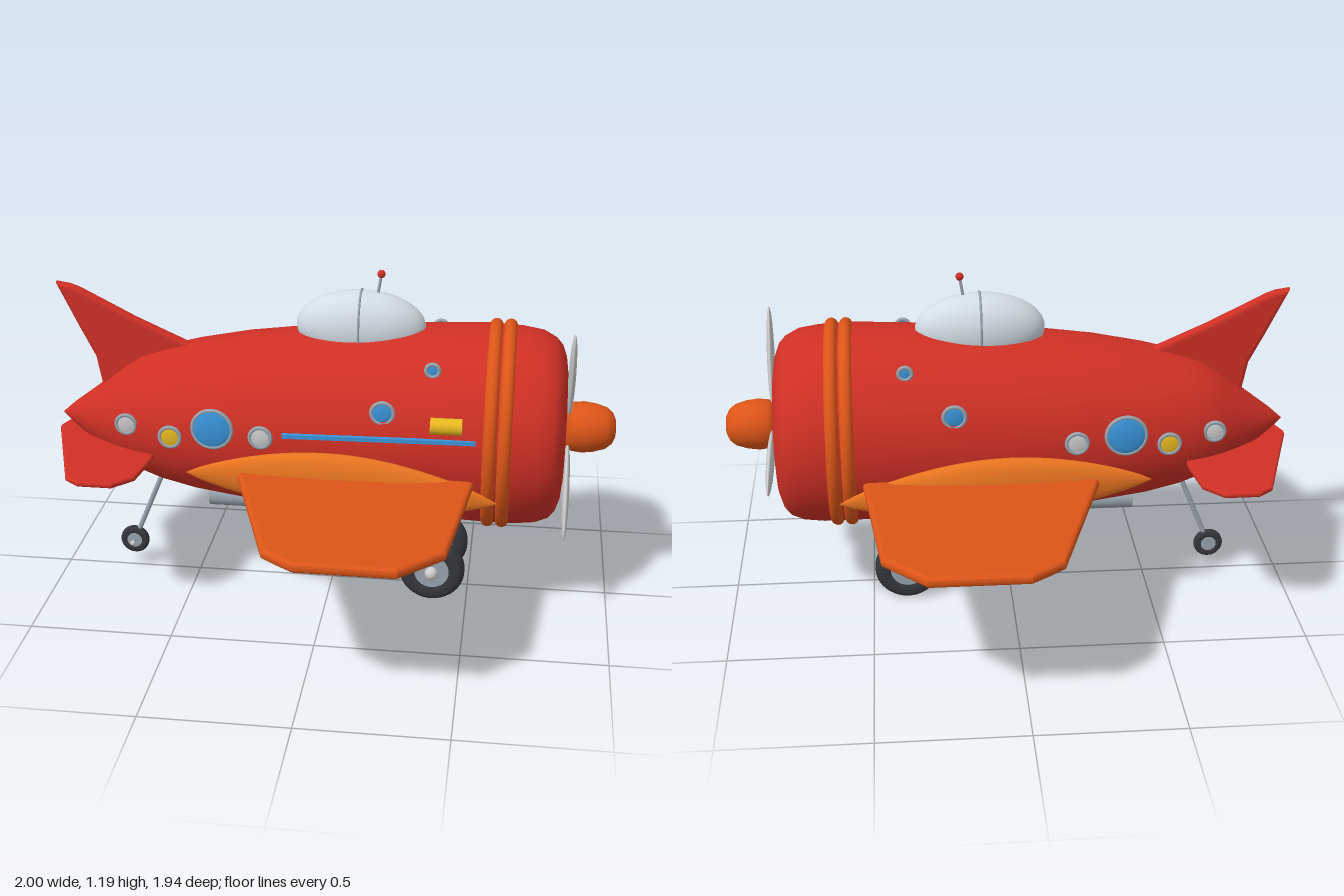
import * as THREE from 'three';

const mat = (color) => new THREE.MeshStandardMaterial({ color, roughness: 0.6 });
const red = mat(0xd03025), orange = mat(0xdd5518), amber = mat(0xe8741f), pale = mat(0xe0e0dc);
const glass = mat(0xd3dde6), steel = mat(0x9aa5b0), rubber = mat(0x34373d), blue = mat(0x3a96dc), yellow = mat(0xe8b820);
const AXIS = 0.655;

function add(parent, name, geometry, material, x = 0, y = 0, z = 0) {
  const mesh = new THREE.Mesh(geometry, material);
  mesh.name = name;
  mesh.position.set(x, y, z);
  parent.add(mesh);
  return mesh;
}

// Closed body from elliptical sections: [x, top, bottom, halfWidth]
function loft(sections, sides = 48) {
  const pos = [], idx = [];
  sections.forEach(([x, top, bottom, w], i) => {
    for (let j = 0; j < sides; j++) {
      const a = (j / sides) * Math.PI * 2;
      pos.push(x, (top + bottom) / 2 + Math.cos(a) * (top - bottom) / 2, Math.sin(a) * w);
      if (i === 0) continue;
      const k = (j + 1) % sides, p = (i - 1) * sides, q = i * sides;
      idx.push(p + j, q + j, p + k, p + k, q + j, q + k);
    }
  });
  // Winding: make the surface face outward
  for (let i = 0; i < idx.length; i += 3) [idx[i + 1], idx[i + 2]] = [idx[i + 2], idx[i + 1]];
  const g = new THREE.BufferGeometry();
  g.setAttribute('position', new THREE.Float32BufferAttribute(pos, 3));
  g.setIndex(idx);
  g.computeVertexNormals();
  return g;
}

// Flat panel with rounded edges, centred on its own thickness
function panel(points, thickness) {
  const bevel = thickness * 0.4;
  const g = new THREE.ExtrudeGeometry(new THREE.Shape(points.map(([x, y]) => new THREE.Vector2(x, y))), {
    depth: thickness - 2 * bevel, bevelThickness: bevel, bevelSize: bevel, bevelOffset: -bevel, bevelSegments: 3,
  });
  return g.translate(0, 0, bevel - thickness / 2);
}

// Horizontal panel spanning both sides, from its +z half outline
function spanPanel(half, thickness) {
  const other = half.map(([x, z]) => [x, -z]).reverse();
  return panel([...half, ...other], thickness).rotateX(Math.PI / 2);
}

function rod(parent, name, a, b, radius, material) {
  const from = new THREE.Vector3(...a), to = new THREE.Vector3(...b);
  const mesh = add(parent, name, new THREE.CylinderGeometry(radius, radius, from.distanceTo(to), 12), material);
  mesh.position.copy(from).lerp(to, 0.5);
  mesh.quaternion.setFromUnitVectors(new THREE.Vector3(0, 1, 0), to.sub(from).normalize());
  return mesh;
}

const disc = (r, depth) => new THREE.CylinderGeometry(r, r, depth, 32).rotateX(Math.PI / 2);

function wheel(parent, name, radius, width, x, y, z) {
  const g = new THREE.Group();
  g.name = name;
  g.position.set(x, y, z);
  const h = width / 2, r = radius;
  const profile = [[0.5, -0.75], [0.6, -0.95], [0.8, -1], [0.93, -0.75], [1, -0.3], [1, 0.3], [0.93, 0.75], [0.8, 1], [0.6, 0.95], [0.5, 0.75]];
  add(g, 'tyre', new THREE.LatheGeometry(profile.map(([a, b]) => new THREE.Vector2(a * r, b * h)), 40).rotateX(Math.PI / 2), rubber);
  add(g, 'wheelHub', disc(r * 0.53, width * 0.82), steel);
  parent.add(g);
}

export function createModel() {
  const plane = new THREE.Group();
  plane.name = 'airplane';

  // Fuselage with a blunt nose
  add(plane, 'fuselage', loft([
    [-0.985, 0.615, 0.613, 0.001], [-0.94, 0.655, 0.575, 0.04], [-0.88, 0.7, 0.53, 0.085], [-0.8, 0.76, 0.48, 0.14],
    [-0.74, 0.81, 0.448, 0.178], [-0.68, 0.85, 0.418, 0.207], [-0.6, 0.878, 0.39, 0.23], [-0.48, 0.91, 0.362, 0.255],
    [-0.3, 0.945, 0.338, 0.283], [-0.1, 0.97, 0.325, 0.303], [0.1, 0.983, 0.318, 0.315], [0.35, 1.0, 0.308, 0.327],
    [0.55, 1.008, 0.302, 0.334], [0.66, 1.002, 0.302, 0.332], [0.73, 0.99, 0.31, 0.325], [0.775, 0.965, 0.328, 0.308],
    [0.797, 0.94, 0.355, 0.287], [0.812, 0.9, 0.4, 0.25], [0.818, 0.86, 0.45, 0.2], [0.82, 0.657, 0.655, 0.001],
  ]), red);

  // Cowl bands
  for (const x of [0.565, 0.615]) {
    const ring = add(plane, 'cowlBand', new THREE.TorusGeometry(0.345, 0.023, 14, 56).rotateY(Math.PI / 2), orange, x, AXIS, 0);
    ring.scale.z = 0.96;
  }

  // Propeller
  const propeller = new THREE.Group();
  propeller.name = 'propeller';
  propeller.position.set(0.83, AXIS, 0);
  plane.add(propeller);
  const spinner = [[0, 0.165], [0.03, 0.163], [0.055, 0.152], [0.073, 0.13], [0.085, 0.09], [0.09, 0.05], [0.086, 0.015], [0.075, -0.015], [0, -0.02]];
  add(propeller, 'spinner', new THREE.LatheGeometry(spinner.reverse().map(([r, h]) => new THREE.Vector2(r, h)), 36).rotateZ(-Math.PI / 2), orange);
  for (const deg of [20, 140, 260]) {
    const blade = new THREE.SphereGeometry(1, 24, 20).scale(0.013, 0.18, 0.046).translate(0, 0.23, 0);
    add(propeller, 'propellerBlade', blade, pale).rotation.x = THREE.MathUtils.degToRad(deg);
  }

  // Wings and tail surfaces
  add(plane, 'wings', spanPanel([[-0.36, 0.1], [-0.11, 0.89], [-0.065, 0.925], [0, 0.97], [0.32, 0.97], [0.46, 0.83], [0.475, 0.7], [0.52, 0.3], [0.52, 0.1]], 0.036), orange, 0, 0.553, 0);
  add(plane, 'tailplane', spanPanel([[-1, 0.008], [-0.86, 0.43], [-0.81, 0.47], [-0.69, 0.47], [-0.625, 0.4], [-0.605, 0.25], [-0.605, 0.02]], 0.02), red, 0, 0.55, 0);
  add(plane, 'tailFin', panel([[-0.98, 1.11], [-0.9, 0.94], [-0.85, 0.84], [-0.825, 0.7], [-0.5, 0.8], [-0.5, 0.9], [-0.7, 0.99], [-0.895, 1.09], [-0.93, 1.103]], 0.04), red);

  // Wing root fairings: pointed pods that droop toward the nose
  const podSections = Array.from({ length: 25 }, (_, i) => {
    const t = i / 24, s = Math.max(0.005, Math.sin(Math.PI * t) ** 0.8);
    const mid = 0.55 - 0.055 * t * t;
    return [-0.465 + 1.065 * t, mid + 0.11 * s, mid - 0.11 * s, 0.045 * s];
  });
  for (const side of [1, -1]) add(plane, 'wingFairing', loft(podSections, 28), amber, 0, 0, side * 0.325);

  // Canopy with centre frame and aerial
  const canopy = add(plane, 'canopy', new THREE.SphereGeometry(1, 40, 28), glass, 0.1, 0.995, 0);
  canopy.scale.set(0.225, 0.127, 0.1);
  const frame = add(plane, 'canopyFrame', new THREE.TorusGeometry(0.1, 0.004, 8, 48).rotateY(Math.PI / 2), steel, 0.1, 0.995, 0);
  frame.scale.y = 1.27;
  rod(plane, 'aerial', [0.155, 1.1, 0], [0.168, 1.18, 0], 0.005, steel);
  add(plane, 'aerialTip', new THREE.SphereGeometry(0.014, 16, 12), red, 0.168, 1.183, 0);

  // Portholes on both sides: x, y, z, radius, colour
  const portholes = [
    [-0.7, 0.665, 0.205, 0.034, pale], [-0.535, 0.645, 0.25, 0.036, yellow], [-0.38, 0.695, 0.278, 0.068, blue],
    [-0.21, 0.68, 0.296, 0.036, pale], [0.205, 0.793, 0.297, 0.037, blue], [0.365, 0.925, 0.223, 0.022, blue],
  ];
  for (const side of [1, -1]) for (const [x, y, z, r, material] of portholes) {
    const window = add(plane, 'portholeGlass', new THREE.SphereGeometry(r, 28, 18), material, x, y, side * z);
    window.scale.z = 0.2;
    add(plane, 'portholeRim', new THREE.TorusGeometry(r, 0.007, 10, 36), steel, x, y, side * z);
  }

  // Side stripe and lamp on the left flank
  add(plane, 'sideStripe', new THREE.BoxGeometry(0.65, 0.014, 0.016).rotateZ(0.014), blue, 0.195, 0.71, 0.327);
  add(plane, 'sideLamp', new THREE.CylinderGeometry(0.028, 0.028, 0.105, 24).rotateZ(Math.PI / 2), yellow, 0.422, 0.777, 0.345);

  // Belly keel and exhaust
  add(plane, 'bellyKeel', panel([[-0.14, 0.34], [-0.135, 0.305], [-0.11, 0.287], [-0.05, 0.281], [0.42, 0.281], [0.48, 0.29], [0.51, 0.31], [0.51, 0.34]], 0.13), orange);
  add(plane, 'exhaustPipe', new THREE.CylinderGeometry(0.04, 0.04, 0.22, 28).rotateZ(Math.PI / 2), steel, -0.34, 0.316, 0);

  // Main landing gear
  for (const side of [1, -1]) {
    rod(plane, 'mainLeg', [0.358, 0.34, side * 0.06], [0.375, 0.12, side * 0.1], 0.01, steel);
    wheel(plane, 'mainWheel', 0.117, 0.068, 0.375, 0.12, side * 0.11);
    add(plane, 'mainAxle', disc(0.012, 0.05), steel, 0.375, 0.12, side * 0.135);
    add(plane, 'axleCap', new THREE.SphereGeometry(0.024, 20, 14), pale, 0.375, 0.12, side * 0.15);
  }

  // Tail wheel
  rod(plane, 'tailLeg', [-0.615, 0.42, 0], [-0.745, 0.11, 0], 0.009, steel);
  wheel(plane, 'tailWheel', 0.053, 0.03, -0.745, 0.11, 0);
  add(plane, 'tailAxle', disc(0.006, 0.04), steel, -0.745, 0.11, 0.02);
  add(plane, 'tailAxleCap', new THREE.SphereGeometry(0.01, 14, 10), pale, -0.745, 0.11, 0.04);

  return plane;
}
